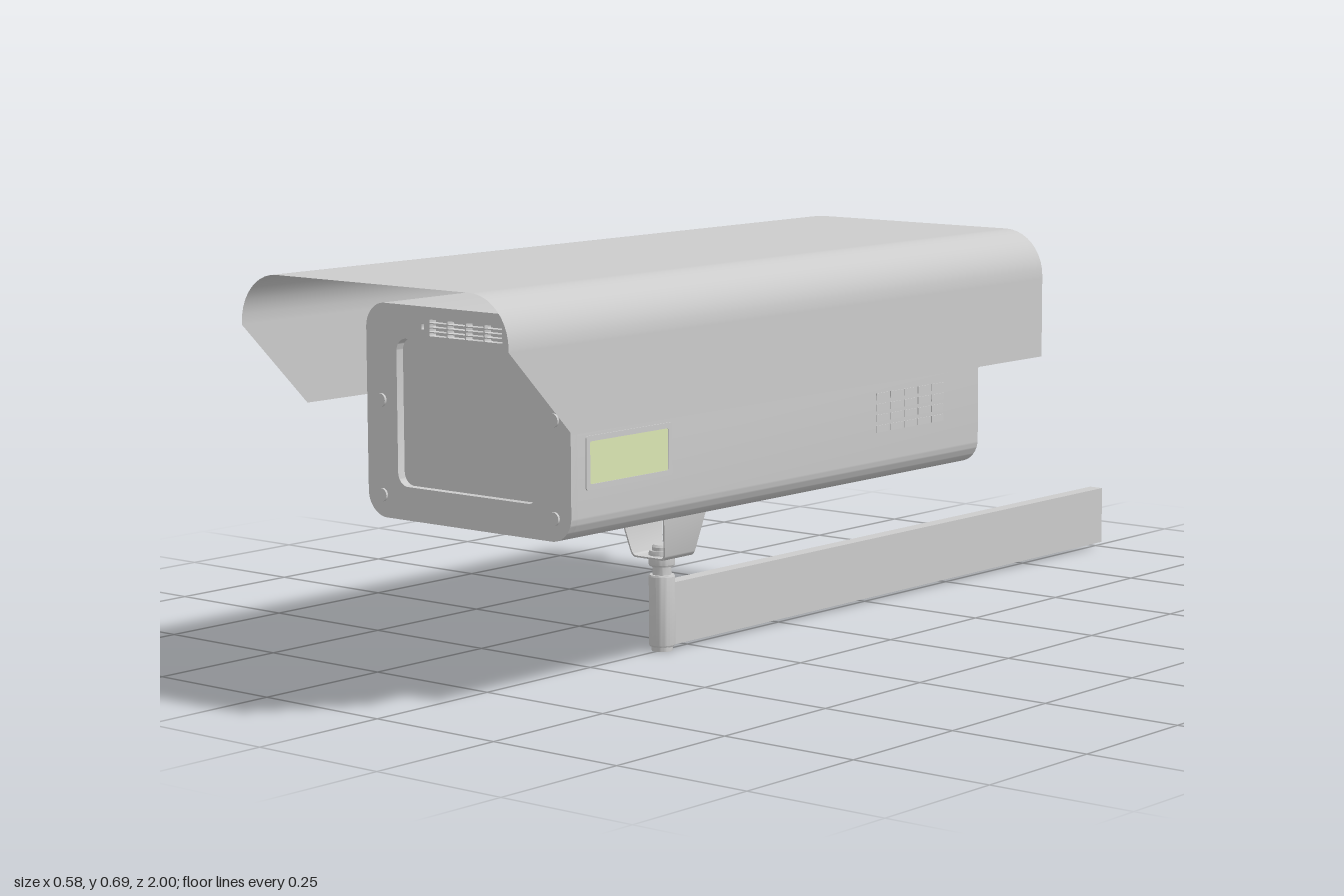
import * as THREE from 'three';
import { toCreasedNormals } from 'three/addons/utils/BufferGeometryUtils.js';

const grey = new THREE.MeshStandardMaterial({ color: 0xcccccc });
const sheet = new THREE.MeshStandardMaterial({ color: 0xcccccc, side: THREE.DoubleSide });
const green = new THREE.MeshStandardMaterial({ color: 0xdbe6b2 });

// Rounded rectangle between two corners, as a Shape or a hole Path
function roundRect(x0, y0, x1, y1, r, Type = THREE.Shape) {
  const s = new Type();
  s.moveTo(x0 + r, y0);
  s.lineTo(x1 - r, y0);
  s.absarc(x1 - r, y0 + r, r, -Math.PI / 2, 0);
  s.lineTo(x1, y1 - r);
  s.absarc(x1 - r, y1 - r, r, 0, Math.PI / 2);
  s.lineTo(x0 + r, y1);
  s.absarc(x0 + r, y1 - r, r, Math.PI / 2, Math.PI);
  s.lineTo(x0, y0 + r);
  s.absarc(x0 + r, y0 + r, r, Math.PI, Math.PI * 1.5);
  return s;
}

function extrude(shape, depth, z = 0) {
  const g = new THREE.ExtrudeGeometry(shape, { depth, bevelEnabled: false, curveSegments: 10 });
  return toCreasedNormals(g.translate(0, 0, z), 0.6);
}

// Open sheet swept along z from a profile, with a front edge that depends on height
function hoodGeometry(profile, back, front) {
  const pos = [], idx = [];
  profile.forEach(([x, y], i) => {
    pos.push(x, y, back, x, y, front(y));
    if (i) {
      const a = 2 * i - 2;
      idx.push(a, a + 1, a + 2, a + 1, a + 3, a + 2);
    }
  });
  const g = new THREE.BufferGeometry();
  g.setAttribute('position', new THREE.Float32BufferAttribute(pos, 3));
  g.setIndex(idx);
  g.computeVertexNormals();
  return g;
}

export function createModel() {
  const model = new THREE.Group();
  const add = (name, geo, mat = grey, x = 0, y = 0, z = 0) => {
    const m = new THREE.Mesh(geo, mat);
    m.name = name;
    m.position.set(x, y, z);
    model.add(m);
    return m;
  };
  const box = (name, w, h, d, x, y, z, mat) => add(name, new THREE.BoxGeometry(w, h, d), mat, x, y, z);

  // Housing and front bezel with window and vent openings
  const outline = () => roundRect(-0.223, 0.273, 0.223, 0.625, 0.042);
  add('housing', extrude(outline(), 1.065, -0.29));
  const bezel = outline();
  bezel.holes.push(roundRect(-0.155, 0.328, 0.153, 0.57, 0.022, THREE.Path));
  for (let c = 0; c < 4; c++) {
    for (let r = 0; r < 4; r++) {
      const x = -0.08 + c * 0.0405, y = 0.578 + r * 0.0072;
      bezel.holes.push(roundRect(x, y, x + 0.038, y + 0.0055, 0.001, THREE.Path));
    }
  }
  for (const s of [-1, 1]) {
    bezel.holes.push(roundRect(s * 0.095 - 0.003, 0.588, s * 0.095 + 0.003, 0.597, 0.001, THREE.Path));
  }
  add('frontBezel', extrude(bezel, 0.015, 0.775));
  add('windowPane', extrude(roundRect(-0.148, 0.33, 0.152, 0.568, 0.02), 0.004, 0.774));

  // Bezel screws
  for (const x of [-0.19, 0.188]) {
    for (const y of [0.31, 0.466]) {
      add('screw', new THREE.CylinderGeometry(0.011, 0.011, 0.008, 20), grey, x, y, 0.79).rotation.x = Math.PI / 2;
    }
  }

  // Sun hood: a thin folded sheet, cut diagonally at the front
  const R = 0.08, W = 0.29, T = 0.685;
  const profile = [[W, 0.46], [W, 0.6]];
  for (let i = 0; i <= 10; i++) {
    const a = (i / 10) * Math.PI / 2;
    profile.push([W - R + R * Math.cos(a), T - R + R * Math.sin(a)]);
  }
  const mirrored = profile.map(([x, y]) => [-x, y]).reverse();
  add('sunHood', hoodGeometry([...profile, ...mirrored], -0.39, (y) => Math.min(1, 0.4 + y)), sheet);

  // Thin plates under the hood on each side
  for (const s of [-1, 1]) box('sidePlate', 0.002, 0.125, 0.27, s * 0.2235, 0.5175, -0.135);

  // Status window on the left side
  const frame = roundRect(-0.103, -0.043, 0.103, 0.043, 0.004);
  frame.holes.push(roundRect(-0.094, -0.034, 0.094, 0.034, 0.003, THREE.Path));
  add('displayFrame', extrude(frame, 0.004), grey, 0.221, 0.397, 0.653).rotation.y = Math.PI / 2;
  box('display', 0.002, 0.068, 0.188, 0.223, 0.397, 0.653, green);

  // Side louvres
  for (let c = 0; c < 5; c++) {
    for (let r = 0; r < 4; r++) {
      box('sideLouvre', 0.004, 0.012, 0.034, 0.2225, 0.367 + r * 0.0187, -0.008 - c * 0.0398);
    }
  }

  // Hatch outline and ring on the underside
  const hatch = roundRect(-0.16, -0.105, 0.16, 0.105, 0.006);
  hatch.holes.push(roundRect(-0.154, -0.099, 0.154, 0.099, 0.004, THREE.Path));
  add('hatchOutline', extrude(hatch, 0.003), grey, 0, 0.2705, 0.61).rotation.x = -Math.PI / 2;
  add('hatchRing', new THREE.TorusGeometry(0.055, 0.003, 8, 32), grey, 0, 0.273, 0.61).rotation.x = Math.PI / 2;

  // Hexagonal cable gland
  const gland = new THREE.CylinderGeometry(0.035, 0.035, 0.034, 6).toNonIndexed();
  gland.computeVertexNormals();
  add('cableGland', gland, grey, 0, 0.26, -0.11).rotation.y = Math.PI / 2;

  // Tapered stirrup, narrowed towards the bottom in both directions
  const loop = (d, Type) => {
    const p = new Type();
    p.moveTo(-0.05 + d, 0.274 - d);
    p.quadraticCurveTo(-0.056 + d, 0.274 - d, -0.054 + d, 0.262);
    p.lineTo(-0.039 + d, 0.175);
    p.quadraticCurveTo(-0.037 + d, 0.163 + d, -0.029 + d, 0.163 + d);
    p.lineTo(0.029 - d, 0.163 + d);
    p.quadraticCurveTo(0.037 - d, 0.163 + d, 0.039 - d, 0.175);
    p.lineTo(0.054 - d, 0.262);
    p.quadraticCurveTo(0.056 - d, 0.274 - d, 0.05 - d, 0.274 - d);
    return p;
  };
  const stirrupShape = loop(0, THREE.Shape);
  stirrupShape.holes.push(loop(0.003, THREE.Path));
  let stirrup = new THREE.ExtrudeGeometry(stirrupShape, { depth: 1, bevelEnabled: false, curveSegments: 6 });
  const p = stirrup.attributes.position;
  for (let i = 0; i < p.count; i++) {
    const half = 0.0375 + 0.025 * (p.getY(i) - 0.163) / 0.111;
    p.setZ(i, 0.313 + half * (2 * p.getZ(i) - 1));
  }
  add('stirrup', toCreasedNormals(stirrup, 0.6));

  // Turned pivot pin
  const steps = [[0, 0], [0.018, 0], [0.018, 0.008], [0.021, 0.008], [0.0225, 0.011], [0.0225, 0.129],
    [0.021, 0.132], [0.016, 0.132], [0.016, 0.147], [0.021, 0.147], [0.0225, 0.15], [0.0225, 0.169],
    [0.021, 0.174], [0.017, 0.174], [0.017, 0.18], [0.014, 0.184], [0, 0.184]];
  const pin = new THREE.LatheGeometry(steps.map(([r, y]) => new THREE.Vector2(r, y)), 28);
  add('pivotPin', toCreasedNormals(pin, 0.5), grey, 0, 0, 0.316);

  // Long flat support arm
  box('supportArm', 0.028, 0.108, 1.31, 0, 0.063, -0.345);

  return model;
}
